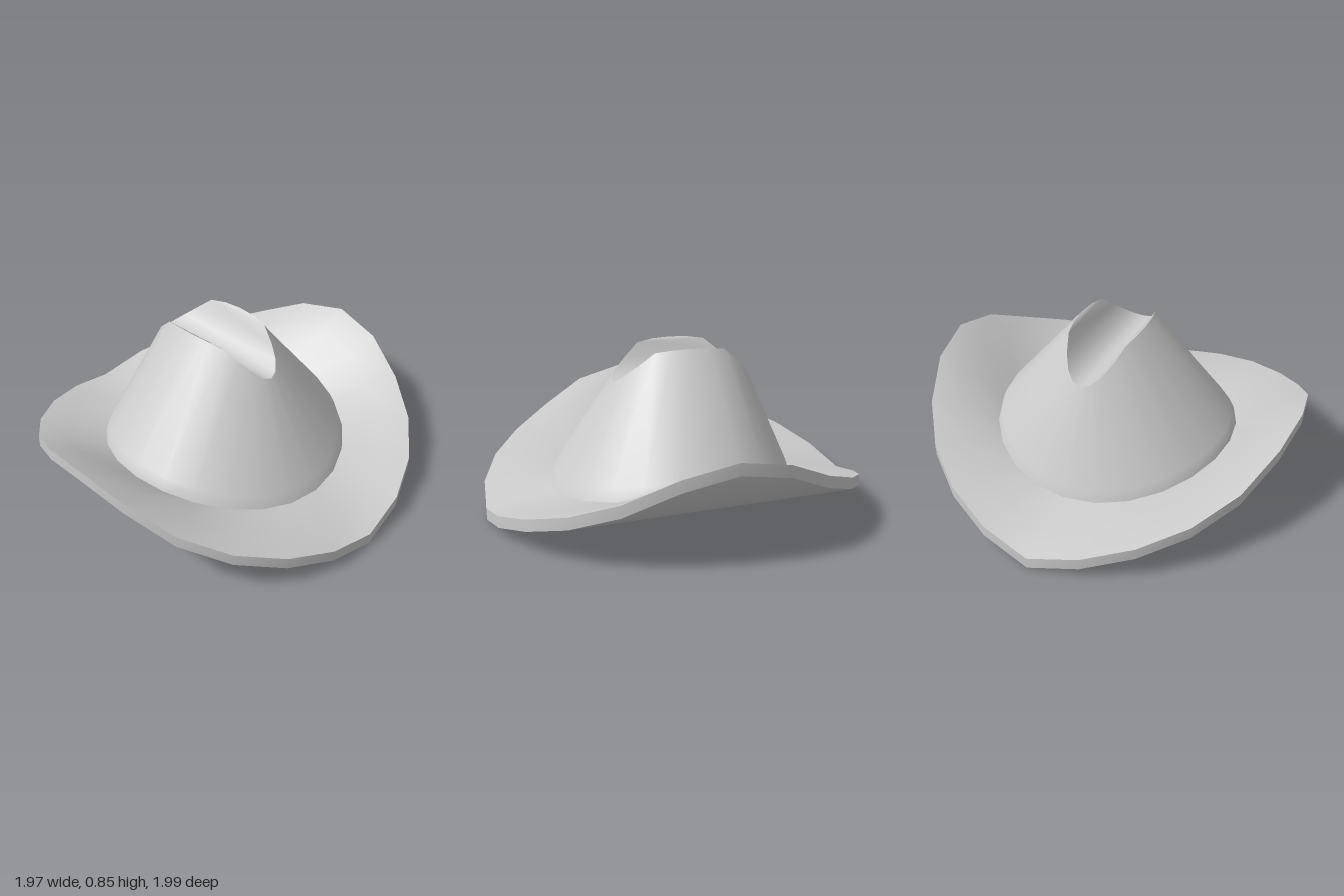
import * as THREE from 'three';

const N = 24; // sides of every ring
const mat = new THREE.MeshStandardMaterial({ color: 0xcccccc });

// Ring of points, starting at the front (+z) and turning towards +x.
// fn receives sin, cos and the quarter step (0 at front/back, 6 at the sides).
function ring(fn) {
  return Array.from({ length: N }, (_, i) => {
    const a = (i / N) * Math.PI * 2;
    const m = i % 12;
    return new THREE.Vector3(...fn(Math.sin(a), Math.cos(a), Math.min(m, 12 - m)));
  });
}

function surface(name, points, index) {
  const geo = new THREE.BufferGeometry().setFromPoints(points);
  geo.setIndex(index);
  geo.computeVertexNormals();
  const mesh = new THREE.Mesh(geo, mat);
  mesh.name = name;
  return mesh;
}

// Skin through rings listed from the outside/bottom to the inside/top
function loft(name, rings) {
  const index = [];
  for (let r = 0; r < rings.length - 1; r++) {
    for (let i = 0; i < N; i++) {
      const j = (i + 1) % N;
      const a = r * N + i, b = r * N + j, c = b + N, d = a + N;
      index.push(a, b, c, a, c, d);
    }
  }
  return surface(name, rings.flat(), index);
}

// Cap made of strips running front to back, so it curves only across x
function cap(name, points, faceDown) {
  const index = [];
  const tri = (a, b, c) => {
    if (a !== b && b !== c && a !== c) index.push(...(faceDown ? [a, c, b] : [a, b, c]));
  };
  const id = (i) => (i + N) % N;
  for (let k = -6; k < 6; k++) {
    const f0 = id(k), f1 = id(k + 1), b0 = id(12 - k), b1 = id(11 - k);
    tri(f0, f1, b1);
    tri(f0, b1, b0);
  }
  return surface(name, points, index);
}

export function createModel() {
  const hat = new THREE.Group();
  hat.name = 'cowboyHat';

  // Heights from the front/back centre to the sides
  const brimY = [0, 0.055, 0.12, 0.19, 0.28, 0.40, 0.46];
  const creaseY = [0.67, 0.682, 0.715, 0.765, 0.83, 0.842, 0.845];

  // Brim: curled up at the sides, slightly higher towards the back
  const brimLow = ring((s, c, q) => [
    0.985 * s,
    brimY[q] + 0.04 * Math.max(0, -c) * Math.abs(s),
    0.995 * c + 0.03 * Math.abs(s),
  ]);
  const brimHigh = brimLow.map((p) => p.clone().setY(p.y + 0.06));
  const crownBase = ring((s, c) => [0.64 * s, 0.14 + 0.11 * s * s, 0.015 + 0.64 * c]);
  const brimMid = brimHigh.map((p, i) => {
    const m = p.clone().lerp(crownBase[i], 0.42);
    m.y += 0.025 * p.x * p.x;
    return m;
  });

  const brim = new THREE.Group();
  brim.name = 'brim';
  brim.add(
    cap('brimUnderside', brimLow, true),
    loft('brimEdge', [brimLow, brimHigh]),
    loft('brimTop', [brimHigh, brimMid, crownBase]),
  );

  // Crown: cone narrowing to a long oval with a crease along its top
  const crownLow = ring((s, c) => [0.615 * s, 0.2 + 0.11 * s * s, 0.01 + 0.615 * c]);
  const crownTop = ring((s, c, q) => [0.175 * s, creaseY[q], -0.04 + 0.37 * c]);

  const crown = new THREE.Group();
  crown.name = 'crown';
  crown.add(
    loft('crownSide', [crownBase, crownLow, crownTop]),
    cap('crownCrease', crownTop, false),
  );

  hat.add(brim, crown);
  return hat;
}
